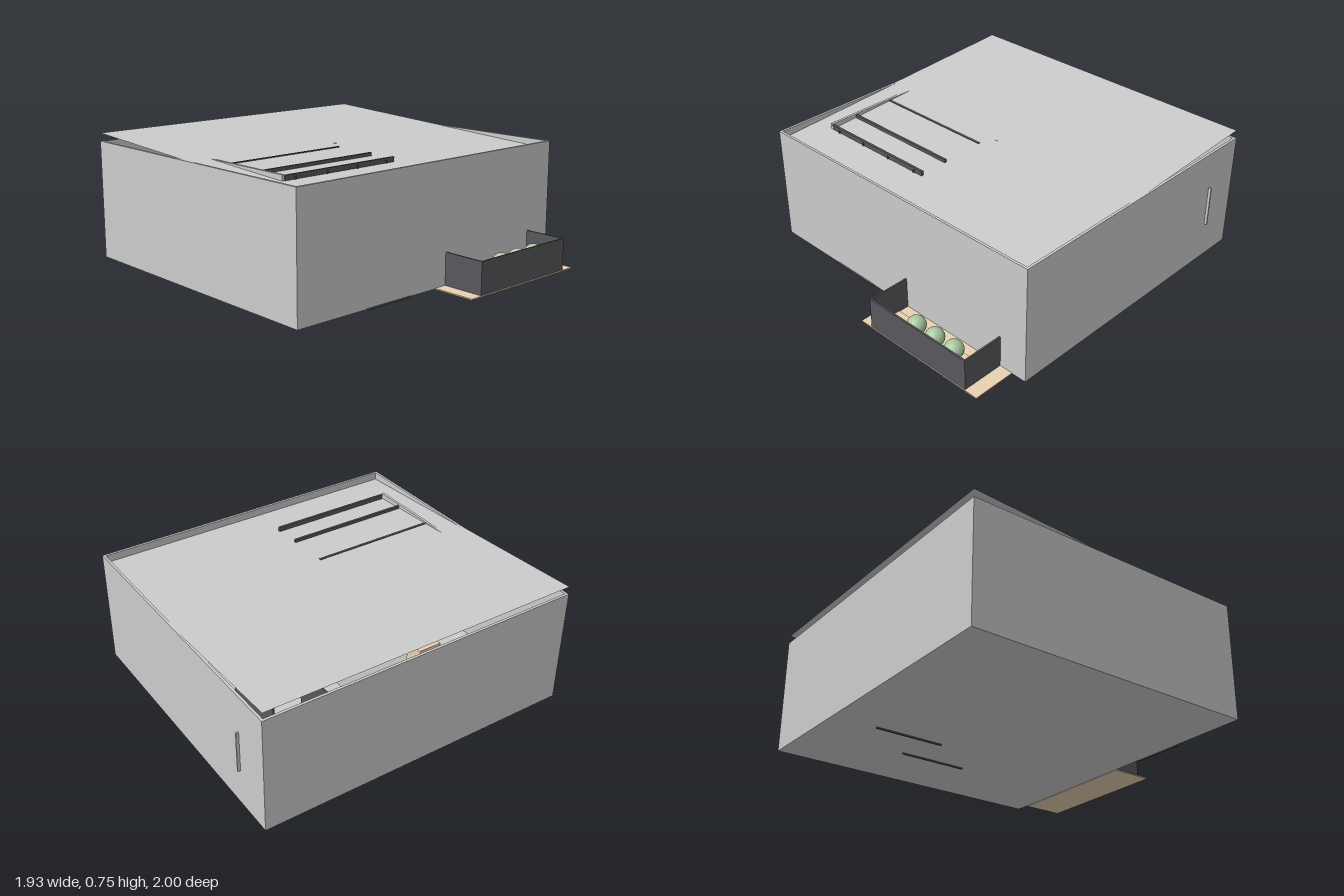
import * as THREE from 'three';

const paint = (color) => new THREE.MeshStandardMaterial({ color, side: THREE.DoubleSide });

export function createModel() {
  const house = new THREE.Group();
  house.name = 'house';
  const grey = paint(0xcccccc);
  const dark = paint(0x58575d);
  const tan = paint(0xe8d2b2);
  const green = paint(0xa8c8a0);

  // box given by its low and high corner
  function slab(name, material, [x0, y0, z0], [x1, y1, z1], parent = house) {
    const mesh = new THREE.Mesh(new THREE.BoxGeometry(x1 - x0, y1 - y0, z1 - z0), material);
    mesh.position.set((x0 + x1) / 2, (y0 + y1) / 2, (z0 + z1) / 2);
    mesh.name = name;
    parent.add(mesh);
    return mesh;
  }

  // outer shell
  const L = -0.967, R = 0.95, B = -1, F = 0.745, T = 0.015, TOP = 0.7, BASE = 0.008;
  slab('floor', grey, [L, BASE, B], [R, BASE + 0.007, F]);
  slab('frontWall', grey, [L, BASE, F - T], [R, TOP, F]);
  slab('backWall', grey, [L, BASE, B], [R, TOP, B + T]);
  slab('rightWall', grey, [L, BASE, B + T], [L + T, TOP, F - T]);
  slab('leftWall', grey, [R - T, BASE, B + T], [R, TOP, F - T]);
  slab('wallHandle', grey, [R, 0.23, -0.775], [R + 0.016, 0.475, -0.767]);
  slab('doorStep', dark, [-0.51, 0.004, F], [-0.2, 0.012, F + 0.009]);

  // thin roof sheet, rising towards the back
  const roofY = (z) => 0.7 - 0.053 * (z + 0.12);
  const roofGeometry = new THREE.PlaneGeometry(1.91, F - B - 0.002).rotateX(-Math.PI / 2);
  roofGeometry.translate(-0.01, 0, (F + B) / 2);
  const p = roofGeometry.attributes.position;
  for (let i = 0; i < p.count; i++) p.setY(i, roofY(p.getZ(i)));
  roofGeometry.computeVertexNormals();
  const roof = new THREE.Mesh(roofGeometry, grey);
  roof.name = 'roof';
  house.add(roof);

  // inner partitions, whose tops come through the low part of the roof
  slab('sidePartition', grey, [-0.832, 0.015, -0.14], [-0.816, 0.7, 0.48]);
  slab('middlePartition', grey, [-0.015, 0.015, -0.9], [0, 0.697, -0.04]);
  slab('cabinet', tan, [-0.12, 0.015, -0.96], [0.01, 0.69, -0.86]);
  for (const z of [0.042, 0.302, 0.475]) {
    slab('shelfPanel', dark, [-0.812, 0.6, z - 0.007], [-0.06, 0.696, z + 0.007]);
  }
  for (const x of [-0.75, -0.54, -0.33, -0.12]) {
    slab('shelfBracket', dark, [x - 0.004, 0.6, 0.482], [x + 0.004, 0.685, 0.488]);
  }
  // two dark boards reaching just below the floor
  slab('lowBoard', dark, [0.293, 0, -0.735], [0.303, 0.3, -0.315]);
  slab('lowBoard', dark, [0.535, 0, -0.415], [0.545, 0.3, 0]);

  // porch
  const porch = new THREE.Group();
  porch.name = 'porch';
  house.add(porch);
  slab('porchFloor', tan, [-0.005, 0.005, F], [0.86, 0.012, 1], porch);
  slab('frontRailing', dark, [0.072, 0.012, 0.986], [0.778, 0.197, 0.996], porch);
  for (const x of [0.072, 0.768]) {
    slab('sideRailing', dark, [x, 0.012, F], [x + 0.01, 0.197, 0.986], porch);
  }
  for (const x of [0.115, 0.567]) {
    slab('porchBench', tan, [x, 0.012, 0.835], [x + 0.172, 0.05, 0.895], porch);
  }
  // round bushes in pots
  for (const x of [0.338, 0.476, 0.615]) {
    const pot = new THREE.Mesh(new THREE.CylinderGeometry(0.035, 0.026, 0.08, 20), tan);
    pot.position.set(x, 0.052, 0.911);
    pot.name = 'pot';
    const bush = new THREE.Mesh(new THREE.SphereGeometry(0.053, 28, 18), green);
    bush.position.set(x, 0.125, 0.911);
    bush.name = 'bush';
    porch.add(pot, bush);
  }
  return house;
}
